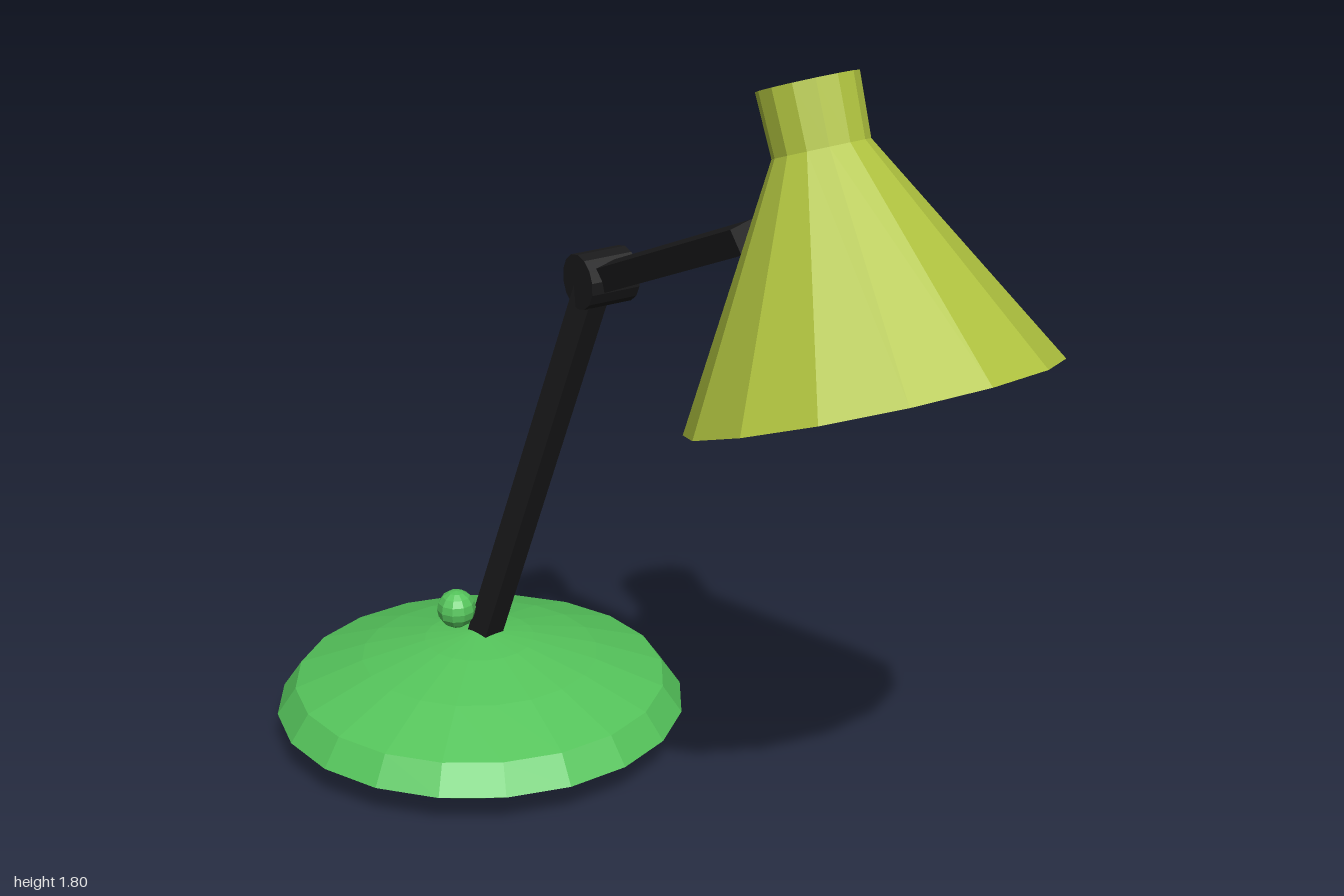
import * as THREE from 'three';

const paint = (color) => new THREE.MeshStandardMaterial({ color, flatShading: true });
const UP = new THREE.Vector3(0, 1, 0);
const vec = (x, y, z) => new THREE.Vector3(x, y, z);
const profile = (pairs) => pairs.map(([r, y]) => new THREE.Vector2(r, y));

export function createModel() {
  const model = new THREE.Group();
  model.name = 'deskLamp';
  const green = paint(0x55c45b);
  const lime = paint(0xafc23f);
  const black = paint(0x1a1a1b);

  function add(name, geometry, material, position) {
    const mesh = new THREE.Mesh(geometry, material);
    mesh.name = name;
    mesh.position.copy(position);
    model.add(mesh);
    return mesh;
  }

  // Square bar running between two points
  function bar(name, from, to, width) {
    const dir = to.clone().sub(from);
    const mesh = add(name, new THREE.BoxGeometry(width, dir.length(), width), black,
      from.clone().lerp(to, 0.5));
    mesh.quaternion.setFromUnitVectors(UP, dir.normalize());
  }

  // Domed foot; the lower ring is turned half a step for a zigzag underside
  const sides = 20;
  const foot = new THREE.LatheGeometry(profile([
    [0, 0], [0.4, 0.033], [0.485, 0.08], [0.44, 0.145], [0.28, 0.205], [0.13, 0.245], [0, 0.265],
  ]), sides);
  const pos = foot.attributes.position;
  const p = vec(0, 0, 0);
  for (let i = 1; i < pos.count; i += 7) {
    p.fromBufferAttribute(pos, i).applyAxisAngle(UP, -Math.PI / sides);
    pos.setXYZ(i, p.x, p.y, p.z);
  }
  add('base', foot, green, vec(0, 0, -0.515));

  // Round switch beside the arm
  add('switchKnob', new THREE.SphereGeometry(0.046, 10, 8), green, vec(-0.06, 0.335, -0.527));

  // Two arms and the elbow between them
  bar('lowerArm', vec(0.013, 0.24, -0.515), vec(0.045, 1.21, -0.165), 0.058);
  bar('upperArm', vec(0.06, 1.21, -0.165), vec(-0.062, 1.455, 0.37), 0.056);
  const elbow = add('elbowJoint', new THREE.CylinderGeometry(0.062, 0.062, 0.12, 14), black,
    vec(0.07, 1.21, -0.17));
  elbow.quaternion.setFromUnitVectors(UP, vec(0.117, 0, 0.028).normalize());

  // Tilted shade: recessed mouth, cone and neck turned as one profile
  const mouth = vec(0.015, 1.167, 0.642);
  const neckTop = vec(0.055, 1.76, 0.418);
  const shade = add('shade', new THREE.LatheGeometry(profile([
    [0, 0.08], [0.307, 0.08], [0.307, 0], [0.386, 0], [0.1, 0.5], [0.105, 0.635], [0, 0.635],
  ]), 14, Math.PI / 2), lime, mouth);
  shade.quaternion.setFromUnitVectors(UP, neckTop.sub(mouth).normalize());

  return model;
}
